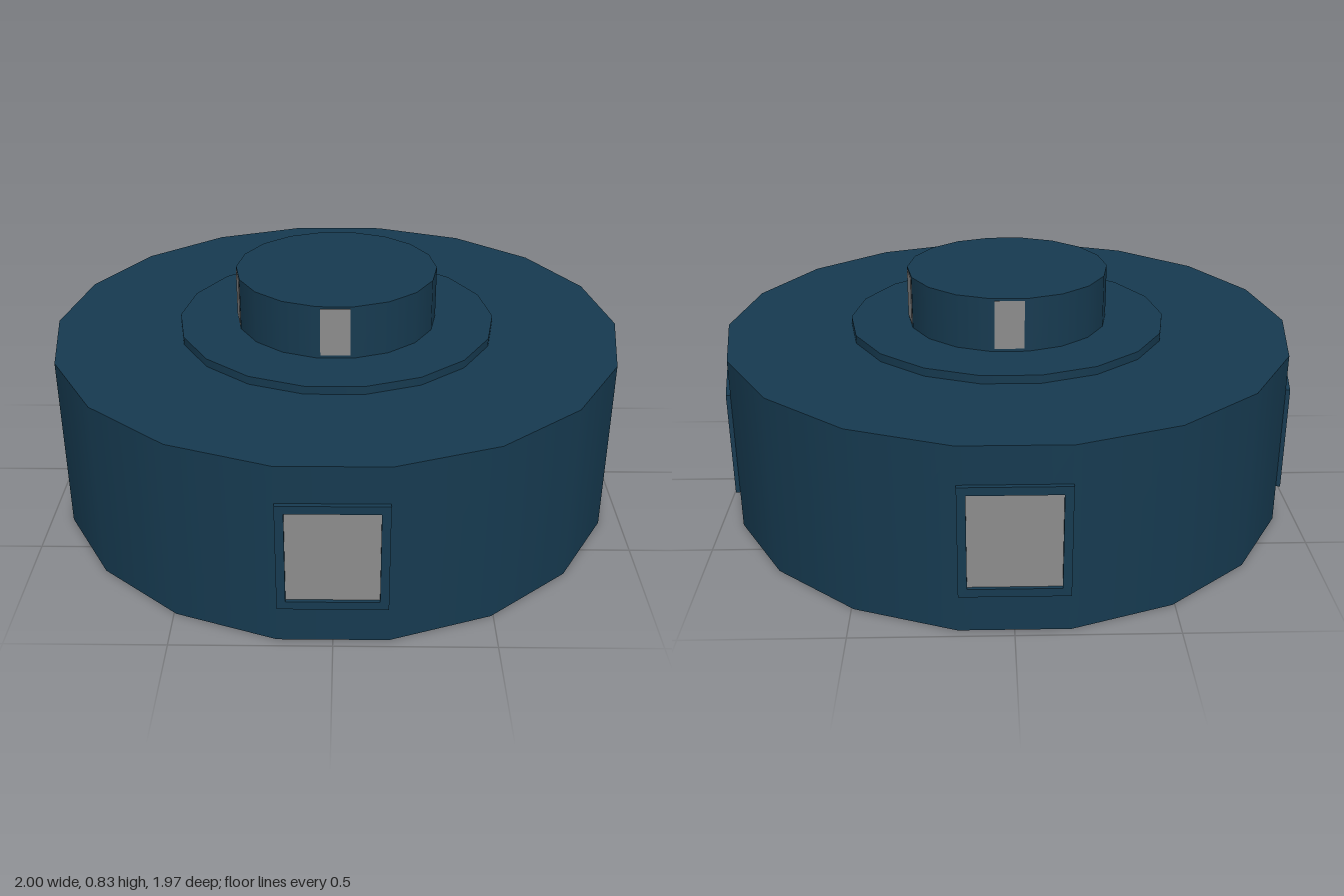
import * as THREE from 'three';

const SIDES = 18;
const STEP = (Math.PI * 2) / SIDES;
const wallMaterial = new THREE.MeshStandardMaterial({ color: 0x163a50 });
const glassMaterial = new THREE.MeshStandardMaterial({ color: 0x8c8c8c });

// 18-sided drum with a flat side facing the front
function drum(name, radius, y0, y1) {
  const geometry = new THREE.CylinderGeometry(radius, radius, y1 - y0, SIDES);
  geometry.rotateY(STEP / 2);
  geometry.translate(0, (y0 + y1) / 2, 0);
  const mesh = new THREE.Mesh(geometry, wallMaterial);
  mesh.name = name;
  return mesh;
}

// Thin pane lying just proud of a drum side
function pane(name, width, y0, y1, distance) {
  const geometry = new THREE.BoxGeometry(width, y1 - y0, 0.01);
  geometry.translate(0, (y0 + y1) / 2, distance - 0.005);
  const mesh = new THREE.Mesh(geometry, glassMaterial);
  mesh.name = name;
  return mesh;
}

// Rectangular frame with an opening
function frame(halfWidth, y0, y1, border, back, front) {
  const shape = new THREE.Shape([
    new THREE.Vector2(-halfWidth, y0), new THREE.Vector2(halfWidth, y0),
    new THREE.Vector2(halfWidth, y1), new THREE.Vector2(-halfWidth, y1),
  ]);
  const w = halfWidth - border;
  shape.holes.push(new THREE.Path([
    new THREE.Vector2(-w, y0 + border), new THREE.Vector2(-w, y1 - border),
    new THREE.Vector2(w, y1 - border), new THREE.Vector2(w, y0 + border),
  ]));
  const geometry = new THREE.ExtrudeGeometry(shape, { depth: front - back, bevelEnabled: false });
  geometry.translate(0, 0, back);
  const mesh = new THREE.Mesh(geometry, wallMaterial);
  mesh.name = 'windowFrame';
  return mesh;
}

export function createModel() {
  const model = new THREE.Group();
  model.name = 'roundBuilding';

  // Stacked drums: main body, roof step, lantern
  model.add(
    drum('body', 0.985, 0, 0.617),
    drum('roofStep', 0.55, 0.617, 0.645),
    drum('lantern', 0.348, 0.645, 0.828),
  );

  // Framed windows around the body
  for (const angle of [0, 100, 180, 260]) {
    const window = new THREE.Group();
    window.name = 'window';
    window.add(
      frame(0.168, 0.127, 0.493, 0.027, 0.96, 0.985),
      pane('windowPane', 0.282, 0.154, 0.466, 0.973),
    );
    window.rotation.y = THREE.MathUtils.degToRad(angle);
    model.add(window);
  }

  // Small panes around the lantern
  for (const angle of [0, 100, 180, 280]) {
    const light = pane('lanternPane', 0.098, 0.655, 0.82, 0.345);
    light.rotation.y = THREE.MathUtils.degToRad(angle);
    model.add(light);
  }
  return model;
}
